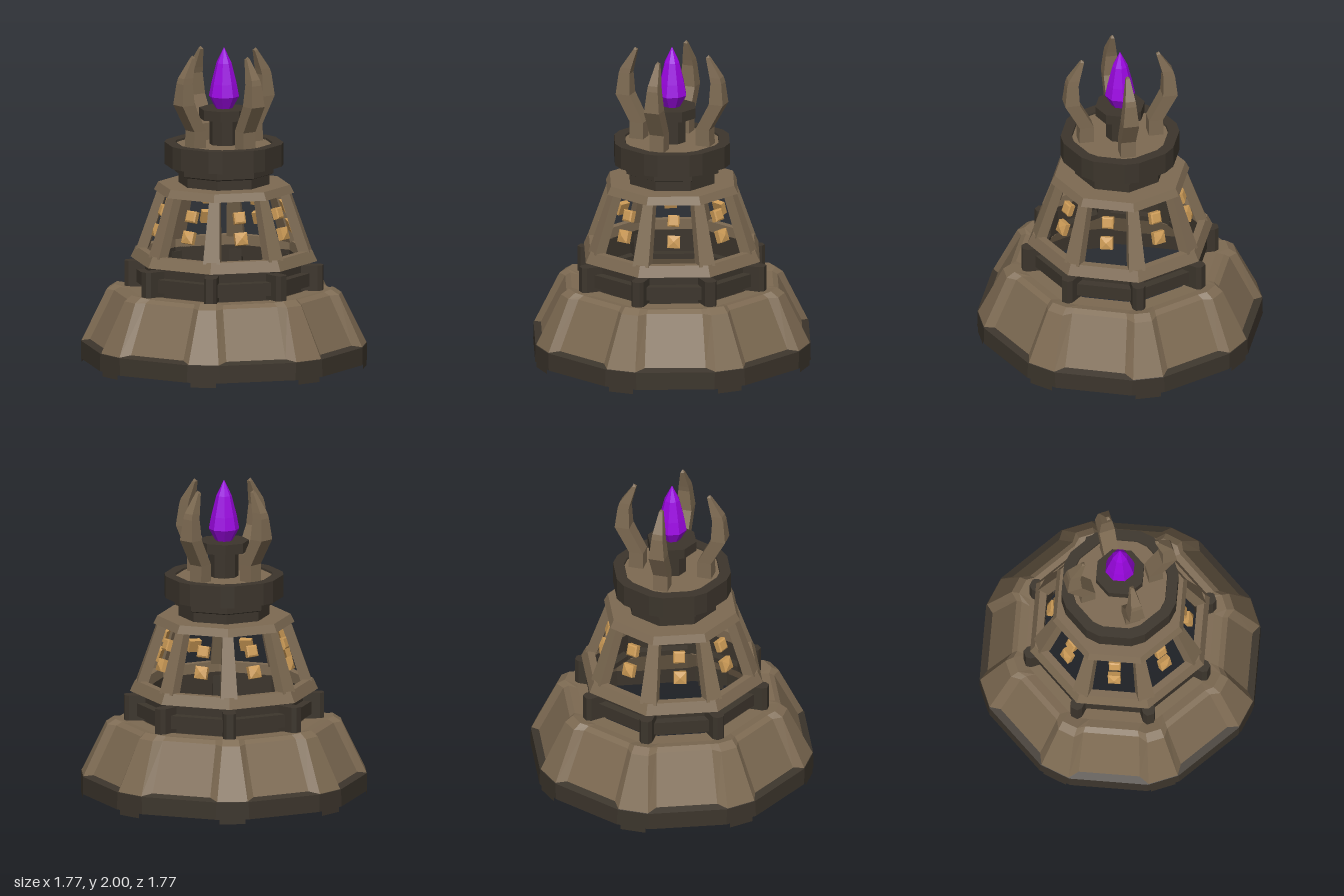
import * as THREE from 'three';

const brown = new THREE.MeshStandardMaterial({ color: 0x7d6a52, side: THREE.DoubleSide });
brown.name = 'weathered brown';
const dark = new THREE.MeshStandardMaterial({ color: 0x3c352c, side: THREE.DoubleSide });
dark.name = 'dark iron';
const gold = new THREE.MeshStandardMaterial({ color: 0xcb9a56 });
gold.name = 'gold';
const purple = new THREE.MeshStandardMaterial({ color: 0x9a06e0 });
purple.name = 'purple crystal';

const STEP = Math.PI / 4;

function mesh(name, geometry, material) {
  const g = geometry.index ? geometry.toNonIndexed() : geometry;
  g.computeVertexNormals(); // faceted look
  const m = new THREE.Mesh(g, material);
  m.name = name;
  return m;
}

// Skin a list of closed loops, each an array of [x, y, z], from bottom to top
function loft(loops) {
  const pos = [];
  for (let i = 0; i < loops.length - 1; i++) {
    const lo = loops[i], hi = loops[i + 1], n = lo.length;
    for (let j = 0; j < n; j++) {
      const k = (j + 1) % n;
      pos.push(...lo[j], ...lo[k], ...hi[k], ...lo[j], ...hi[k], ...hi[j]);
    }
  }
  const g = new THREE.BufferGeometry();
  g.setAttribute('position', new THREE.Float32BufferAttribute(pos, 3));
  return g;
}

// Eight-sided turned shape with corners on the axes
const octagon = (pts) => new THREE.LatheGeometry(pts.map(([r, y]) => new THREE.Vector2(r, y)), 8);

// Octagon with cut corners: r = radius of the cut, w = its half width,
// d = how far the long sides are sunk between the corner ribs, lift = their extra height
function cutLoop([r, y, w, d = 0, lift = 0]) {
  const at = (a, t) => [r * Math.sin(a) + t * Math.cos(a), r * Math.cos(a) - t * Math.sin(a)];
  const loop = [];
  for (let i = 0; i < 8; i++) {
    const a = i * STEP, m = a + STEP / 2;
    const p = at(a, w), q = at(a + STEP, -w), l = at(a, -w);
    const side = (t) => [
      p[0] + (q[0] - p[0]) * t - d * Math.sin(m), y + lift,
      p[1] + (q[1] - p[1]) * t - d * Math.cos(m)];
    loop.push([l[0], y, l[1]], [p[0], y, p[1]], side(0.12), side(0.88));
  }
  return loop;
}

// Repeat a part around the vertical axis
function around(group, name, count, offset, make) {
  for (let i = 0; i < count; i++) {
    const holder = new THREE.Group();
    holder.name = name;
    holder.rotation.y = offset + i * Math.PI * 2 / count;
    holder.add(...make(i));
    group.add(holder);
  }
}

// Rectangular section: half width w, from inner to outer radius at height y
const rect = ([y, inner, outer, w]) => [[-w, y, outer], [w, y, outer], [w, y, inner], [-w, y, inner]];

export function createModel() {
  const model = new THREE.Group();
  model.name = 'crystalTower';

  // Flared base: dark rim with a ledge, feet, and ribbed skirt with sunken panels
  const ledge = [0.882, 0.142, 0.095, 0.04, 0.015];
  model.add(mesh('baseRim', loft([[0.885, 0.03, 0.105], [0.885, 0.14, 0.1], ledge].map(cutLoop)), dark));
  model.add(mesh('baseSkirt', loft([
    ledge, [0.73, 0.462, 0.055, 0.035], [0.68, 0.495, 0.05, 0.02, -0.012], [0.6, 0.475, 0.05], [0.495, 0.472, 0.05],
  ].map(cutLoop)), brown));
  around(model, 'foot', 8, 0, () => {
    const foot = mesh('footPlate', new THREE.PlaneGeometry(0.16, 0.03), dark);
    foot.position.set(0, 0.015, 0.885);
    return [foot];
  });

  // Dark collar with a raised band and corner posts
  model.add(mesh('collar', octagon([
    [0.507, 0.472], [0.507, 0.505], [0.56, 0.508], [0.56, 0.59], [0.507, 0.593], [0.507, 0.665]]), dark));
  const postLoop = (y) => [[-0.04, 0.49], [-0.04, 0.595], [-0.022, 0.622], [0.022, 0.622], [0.04, 0.595], [0.04, 0.49]]
    .map(([x, z]) => [x, y, z]);
  const postEnd = (y) => postLoop(y).map(() => [0, y, 0.56]);
  around(model, 'collarPost', 8, 0, () => [
    mesh('post', loft([postEnd(0.48), postLoop(0.48), postLoop(0.64), postEnd(0.64)]), dark)]);

  // Open lantern: lower and upper frames joined by sloping struts
  model.add(mesh('lowerFrame', octagon([[0.507, 0.662], [0.587, 0.662], [0.555, 0.73], [0.507, 0.73], [0.507, 0.662]]), brown));
  model.add(mesh('upperFrame', octagon([[0.38, 1.09], [0.44, 1.09], [0.415, 1.14], [0.27, 1.14]]), brown));
  model.add(mesh('lanternCeiling', octagon([[0, 1.1], [0.385, 1.092]]), dark));
  around(model, 'strut', 8, 0, () => [
    mesh('strutBar', loft([[0.72, 0.475, 0.546, 0.053], [1.1, 0.35, 0.413, 0.033]].map(rect)), brown)]);

  // Gold studs floating in the window openings, two to each
  around(model, 'windowStuds', 8, STEP / 2, (i) => [0, 1].map((upper) => {
    const s = upper ? 0.036 : 0.039;
    const square = (z, k) => [[-k, -k, z], [k, -k, z], [k, k, z], [-k, k, z]];
    const stud = mesh('goldStud', loft([
      square(-0.022, 0), square(-0.022, s), square(0.012, s), square(upper ? 0.018 : 0.026, upper ? s * 0.75 : 0),
      square(upper ? 0.018 : 0.026, 0)]), gold);
    stud.position.set(0, upper ? 0.985 : 0.86, upper ? 0.392 : 0.432);
    stud.rotation.set(-0.33, 0, (i % 2 ? 1 : -1) * 0.05);
    return stud;
  }));

  // Neck and crown ring
  model.add(mesh('neck', octagon([[0.285, 1.13], [0.285, 1.2], [0.31, 1.21], [0.31, 1.25], [0.29, 1.27]]), dark));
  model.add(mesh('crownRing', loft([
    [0.28, 1.26, 0.04], [0.368, 1.26, 0.045], [0.368, 1.4, 0.045], [0.3, 1.4, 0.035], [0.295, 1.38, 0.035],
  ].map(cutLoop)), dark));
  model.add(mesh('crownFloor', loft([[0.297, 1.388, 0.035], [0, 1.388, 0]].map(cutLoop)), brown));

  // Pedestal and crystal
  model.add(mesh('pedestal', octagon([[0.09, 1.385], [0.09, 1.55], [0.157, 1.55], [0.157, 1.615], [0, 1.615]]), dark));
  model.add(mesh('crystal', octagon([[0.05, 1.61], [0.095, 1.69], [0.08, 1.77], [0.048, 1.9], [0, 2]]), purple));

  // Four curved horns around the crystal
  const hornSections = [
    [1.385, 0.175, 0.268, 0.047], [1.495, 0.175, 0.264, 0.047], [1.665, 0.264, 0.357, 0.05],
    [1.8, 0.27, 0.342, 0.036], [1.835, 0.262, 0.332, 0.032], [1.955, 0.23, 0.254, 0.012], [1.972, 0.247, 0.247, 0],
  ];
  around(model, 'horn', 4, 0, () => [mesh('hornBody', loft(hornSections.map(rect)), brown)]);

  return model;
}
